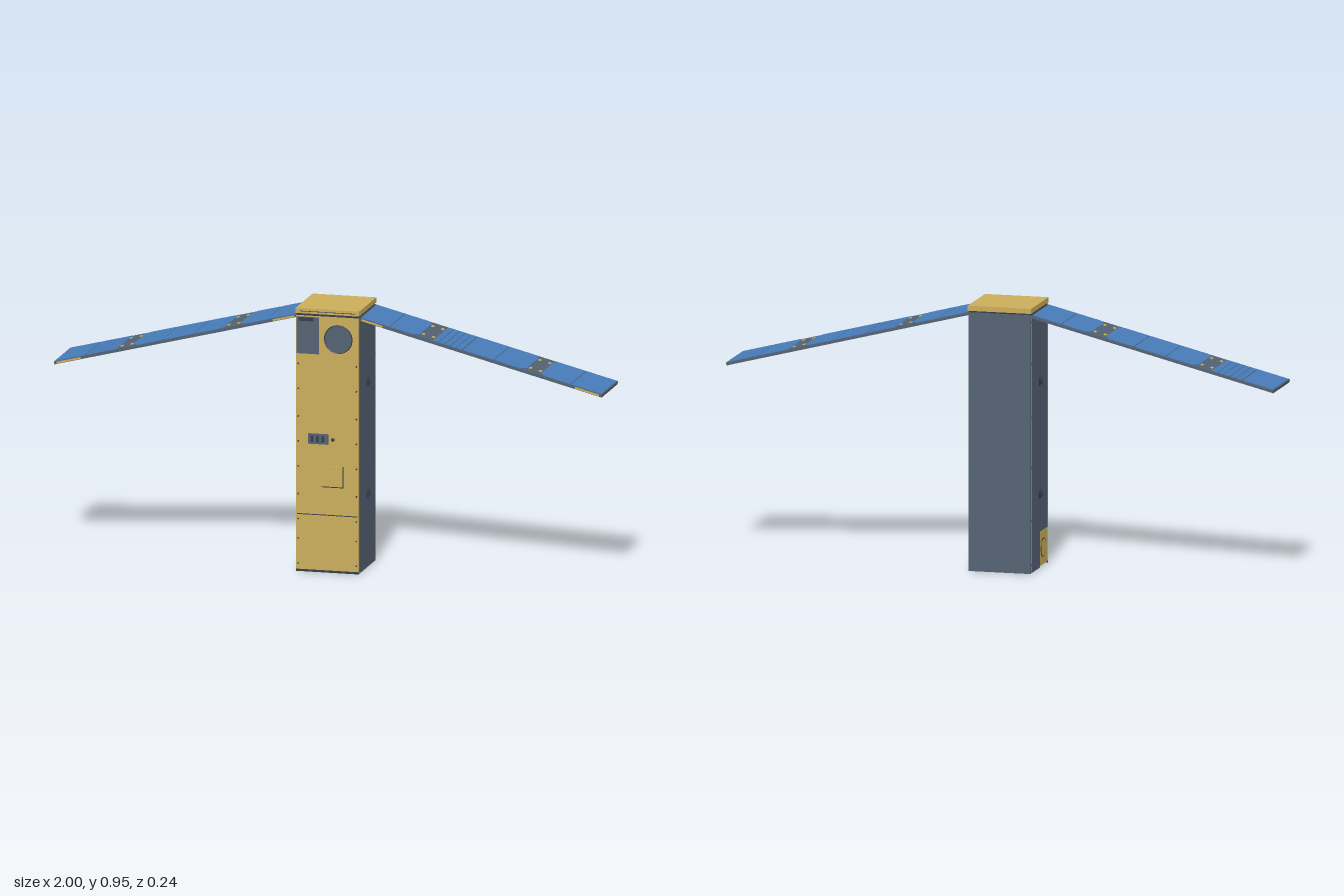
import * as THREE from 'three';

const mat = (name, color) => {
  const m = new THREE.MeshStandardMaterial({ color });
  m.name = name;
  return m;
};

export function createModel() {
  const gold = mat('gold foil', 0xcaae5b);
  const slate = mat('slate panel', 0x536172);
  const blue = mat('solar blue', 0x487bb8);
  const dark = mat('dark metal', 0x343c48);
  const pale = mat('pale trim', 0xbfc4c8);

  const root = new THREE.Group();
  root.name = 'smallSatellite';
  const add = (parent, name, geo, material, x = 0, y = 0, z = 0) => {
    const m = new THREE.Mesh(geo, material);
    m.name = name;
    m.position.set(x, y, z);
    parent.add(m);
    return m;
  };
  // box given by its minimum and maximum on each axis
  const box = (parent, name, material, x0, x1, y0, y1, z0, z1) =>
    add(parent, name, new THREE.BoxGeometry(x1 - x0, y1 - y0, z1 - z0), material,
      (x0 + x1) / 2, (y0 + y1) / 2, (z0 + z1) / 2);
  const disc = (r, h, n = 32) => new THREE.CylinderGeometry(r, r, h, n).rotateX(Math.PI / 2);
  const polygon = (pts) => new THREE.Shape(pts.map(([x, y]) => new THREE.Vector2(x, y)));
  const extrude = (shape, depth) => new THREE.ExtrudeGeometry(shape, { depth, bevelEnabled: false });

  // Body core, front plate, back plate and cap
  const body = new THREE.Group();
  body.name = 'body';
  root.add(body);
  box(body, 'core', gold, -0.108, 0.108, 0.002, 0.93, -0.112, 0.107);
  box(body, 'frontPlate', gold, -0.114, 0.114, 0.008, 0.925, 0.107, 0.111);
  box(body, 'lowerFrontPanel', gold, -0.11, 0.11, 0.018, 0.205, 0.111, 0.114);
  box(body, 'panelSeam', dark, -0.11, 0.11, 0.206, 0.209, 0.111, 0.1125);
  box(body, 'baseTrim', dark, -0.114, 0.114, 0, 0.008, 0.105, 0.111);
  box(body, 'backPanel', slate, -0.113, 0.113, 0, 0.926, -0.119, -0.112);
  box(body, 'cap', gold, -0.116, 0.116, 0.932, 0.95, -0.12, 0.112);
  box(body, 'capSeam', dark, -0.112, 0.112, 0.925, 0.932, -0.114, 0.1115);
  box(body, 'capFrontTrim', dark, -0.1, 0.1, 0.939, 0.941, 0.112, 0.113);

  // Side panels; the right one is notched around a round port
  const left = polygon([[-0.102, 0.002], [0.108, 0.002], [0.108, 0.925], [-0.102, 0.925]]);
  const right = polygon([[-0.108, 0.002], [0.0, 0.002], [0.0, 0.13], [0.102, 0.13],
    [0.102, 0.925], [-0.108, 0.925]]);
  for (const s of [1, -1]) {
    const panel = add(body, 'sidePanel', extrude(s > 0 ? left : right, 0.007), slate, s * 0.108);
    panel.rotation.y = s * Math.PI / 2;
    const x = (a, b) => s > 0 ? [a, b] : [-b, -a];
    box(body, 'frontRail', pale, ...x(0.108, 0.113), s > 0 ? 0.01 : 0.13, 0.92, 0.1025, 0.105);
    box(body, 'rearRail', gold, ...x(0.108, 0.114), 0.01, 0.925, -0.112, -0.109);
    for (const y of [0.265, 0.67]) {
      // Square pyramid bumper on a dark base
      box(body, 'bumperBase', dark, ...x(0.115, 0.117), y - 0.014, y + 0.014, -0.016, 0.012);
      const cone = new THREE.ConeGeometry(0.018, 0.012, 4).rotateY(Math.PI / 4).rotateZ(-s * Math.PI / 2);
      cone.computeVertexNormals();
      add(body, 'bumper', cone, dark, s * 0.123, y, -0.002);
    }
    for (const y of [0.03, 0.12, 0.19, 0.28, 0.38, 0.47, 0.56, 0.66, 0.75]) {
      add(body, 'screw', disc(0.003, 0.004, 8), dark, s * 0.106, y, 0.1125);
    }
    for (const y of [0.03, 0.19, 0.38, 0.56, 0.75, 0.9])
      box(body, 'railClip', dark, ...x(0.112, 0.115), y - 0.004, y + 0.004, -0.112, -0.109);
  }
  box(body, 'portPlate', gold, -0.112, -0.108, 0.004, 0.127, 0.003, 0.104);
  const rim = add(body, 'portRim', new THREE.TorusGeometry(0.032, 0.002, 6, 32), dark, -0.112, 0.065, 0.055);
  rim.rotation.y = Math.PI / 2;
  add(body, 'port', disc(0.031, 0.003).rotateY(Math.PI / 2), gold, -0.1125, 0.065, 0.055);

  // Front instruments
  box(body, 'sensorPlate', slate, -0.112, -0.03, 0.787, 0.92, 0.111, 0.113);
  box(body, 'sensorSlot', dark, -0.105, -0.05, 0.905, 0.918, 0.113, 0.1145);
  add(body, 'lens', disc(0.05, 0.004, 40), slate, 0.04, 0.845, 0.112);
  add(body, 'lensRim', new THREE.TorusGeometry(0.05, 0.002, 6, 40), dark, 0.04, 0.845, 0.113);
  box(body, 'connector', slate, -0.07, 0.003, 0.463, 0.5, 0.111, 0.116);
  for (let i = 0; i < 3; i++)
    box(body, 'connectorRib', dark, -0.06 + i * 0.02, -0.052 + i * 0.02, 0.47, 0.493, 0.116, 0.118);
  add(body, 'button', disc(0.006, 0.006, 12), dark, 0.02, 0.481, 0.114);
  box(body, 'bracketSide', dark, 0.056, 0.059, 0.312, 0.386, 0.111, 0.117);
  box(body, 'bracketBase', dark, -0.02, 0.059, 0.309, 0.312, 0.111, 0.117);
  box(body, 'hatch', gold, -0.018, 0.056, 0.312, 0.385, 0.111, 0.116);

  // Solar wings: cells are [start x, end x, clipped start, clipped end]
  const cells = [[0.12, 0.225, 0, 0], [0.225, 0.33, 0, 1], [0.38, 0.49, 1, 0], [0.49, 0.605, 0, 0],
    [0.605, 0.72, 0, 1], [0.77, 0.885, 1, 0], [0.885, 0.998, 0, 0]];
  const angle = Math.atan2(0.225, 0.885);
  const along = (x) => (x - 0.115) / Math.cos(angle);
  const length = along(1);
  for (const s of [1, -1]) {
    const wing = new THREE.Group();
    wing.name = s > 0 ? 'leftWing' : 'rightWing';
    wing.position.set(s * 0.114, 0.926, -0.005);
    wing.rotation.z = -s * angle;
    root.add(wing);
    const slab = (name, m, u0, u1, y0, y1, z0, z1) =>
      box(wing, name, m, Math.min(s * u0, s * u1), Math.max(s * u0, s * u1), y0, y1, z0, z1);
    slab('wingPanel', slate, 0, length, -0.01, 0, -0.11, 0.11);
    slab('tipStrip', gold, length - 0.004, length, -0.012, -0.01, -0.108, 0.108);
    slab('rootTab', gold, 0.01, 0.09, -0.008, -0.002, 0.11, 0.113);
    slab('tipTab', gold, length - 0.1, length - 0.01, -0.008, -0.002, 0.11, 0.113);
    const hinge = add(wing, 'hinge', new THREE.CylinderGeometry(0.005, 0.005, 0.21, 12), dark, 0, -0.004, 0);
    hinge.rotation.x = Math.PI / 2;

    const patterned = s > 0 ? 2 : 5;
    cells.forEach(([x0, x1, c0, c1], i) => {
      const a = along(x0) + 0.0015, b = along(x1) - 0.0015, h = 0.105;
      if (i === patterned) {
        // Cell made of many small tiles
        const nu = 5, nz = 12, du = (b - a) / nu, dz = 2 * h / nz;
        for (let j = 0; j < nu; j++) for (let k = 0; k < nz; k++)
          slab('smallCell', blue, a + j * du + 0.001, a + (j + 1) * du - 0.001, 0, 0.002,
            -h + k * dz + 0.001, -h + (k + 1) * dz - 0.001);
        return;
      }
      const p = c0 ? 0.018 : 0, q = c1 ? 0.018 : 0;
      const shape = polygon([[a + p, -h], [b - q, -h], [b, -h + q * 1.2], [b, h - q * 1.2],
        [b - q, h], [a + p, h], [a, h - p * 1.2], [a, -h + p * 1.2]]
        .filter(([x, y], n, l) => n === 0 || x !== l[n - 1][0] || y !== l[n - 1][1])
        .filter(([x, y], n, l) => n === 0 || x !== l[0][0] || y !== l[0][1])
        .map(([x, y]) => [s * x, y]));
      add(wing, 'solarCell', extrude(shape, 0.002).rotateX(-Math.PI / 2), blue);
    });

    // Gold contact pads in the gaps between cell groups
    for (const x of [0.337, 0.373, 0.727, 0.763]) for (const z of [-0.063, 0.063]) {
      const u = along(x);
      slab('contactPad', gold, u - 0.005, u + 0.005, 0, 0.0025, z - 0.008, z + 0.008);
    }
    // Square sockets underneath, matching the bumpers
    for (const f of [0.28, 0.72]) {
      const u = f * length;
      slab('socketFrame', gold, u - 0.018, u + 0.018, -0.012, -0.01, -0.016, 0.022);
      slab('socket', dark, u - 0.013, u + 0.013, -0.013, -0.012, -0.011, 0.017);
    }
  }
  return root;
}
